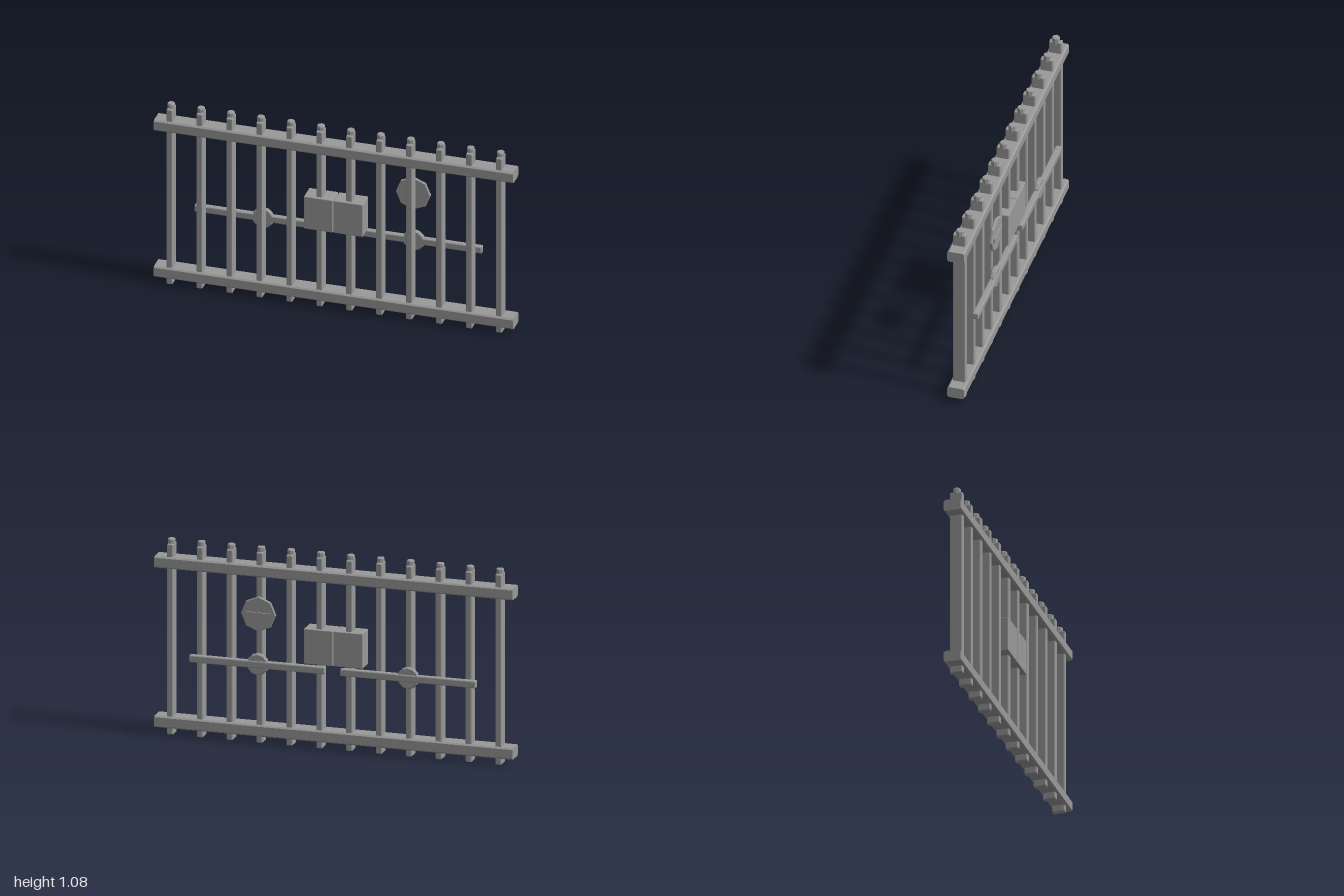
import * as THREE from 'three';
import { RoundedBoxGeometry } from 'three/addons/geometries/RoundedBoxGeometry.js';

export function createModel() {
  const gate = new THREE.Group();
  gate.name = 'gate';
  const iron = new THREE.MeshStandardMaterial({ color: 0x999999 });
  iron.name = 'grey iron';

  const add = (name, geometry, x, y, z) => {
    const flat = geometry.index ? geometry.toNonIndexed() : geometry;
    flat.computeVertexNormals(); // faceted look
    const mesh = new THREE.Mesh(flat, iron);
    mesh.name = name;
    mesh.position.set(x, y, z);
    gate.add(mesh);
    return mesh;
  };
  const block = (w, h, d, bevel) => new RoundedBoxGeometry(w, h, d, 1, bevel);

  // Upright bars with small octagonal caps
  for (let i = 0; i < 12; i++) {
    const x = (i - 5.5) / 6;
    add('uprightBar', block(0.035, 1.058, 0.07, 0.006), x, 0.531, 0.008);
    add('barCap', new THREE.LatheGeometry([
      new THREE.Vector2(0, 1.035), new THREE.Vector2(0.022, 1.05),
      new THREE.Vector2(0.022, 1.081), new THREE.Vector2(0.018, 1.086),
      new THREE.Vector2(0, 1.086),
    ], 8), x, 0, 0.008);
  }

  // Rails: chamfered profile with square-cut ends
  const railHalfHeight = 0.032, railHalfDepth = 0.047, c = 0.008;
  const profile = new THREE.Shape([
    [-railHalfDepth + c, -railHalfHeight], [railHalfDepth - c, -railHalfHeight],
    [railHalfDepth, -railHalfHeight + c], [railHalfDepth, railHalfHeight - c],
    [railHalfDepth - c, railHalfHeight], [-railHalfDepth + c, railHalfHeight],
    [-railHalfDepth, railHalfHeight - c], [-railHalfDepth, -railHalfHeight + c],
  ].map(([a, b]) => new THREE.Vector2(a, b)));
  for (const [name, y] of [['bottomRail', 0.072], ['topRail', 0.958]]) {
    const rail = new THREE.ExtrudeGeometry(profile, { depth: 2, bevelEnabled: false });
    rail.translate(0, 0, -1).rotateY(Math.PI / 2);
    add(name, rail, 0, y, 0.008);
  }

  // Turned disc facing front and back, with chamfered rims
  const disc = (radius, depth, sides, bevel) => {
    const h = depth / 2;
    return new THREE.LatheGeometry([
      new THREE.Vector2(0, -h), new THREE.Vector2(radius - bevel, -h),
      new THREE.Vector2(radius, -h + bevel), new THREE.Vector2(radius, h - bevel),
      new THREE.Vector2(radius - bevel, h), new THREE.Vector2(0, h),
    ], sides).rotateX(Math.PI / 2);
  };

  // Lock boxes, sliding bolts and pivot knobs on both leaves
  for (const side of [-1, 1]) {
    add('lockBox', block(0.162, 0.195, 0.103, 0.004), side * 0.083, 0.568, 0.0085);
    add('slidingBolt', block(0.757, 0.04, 0.033, 0.006), side * 0.4215, 0.445, -0.0435);
    add('boltKnob', disc(0.06, 0.028, 12, 0.006), side * 0.42, 0.445, -0.041);
  }

  // Octagonal plate with a raised handle on the back
  add('backPlate', disc(0.097, 0.017, 8, 0.004), 0.415, 0.725, -0.0445);
  add('plateHandle', new THREE.BoxGeometry(0.14, 0.025, 0.012), 0.415, 0.723, -0.054);

  return gate;
}
